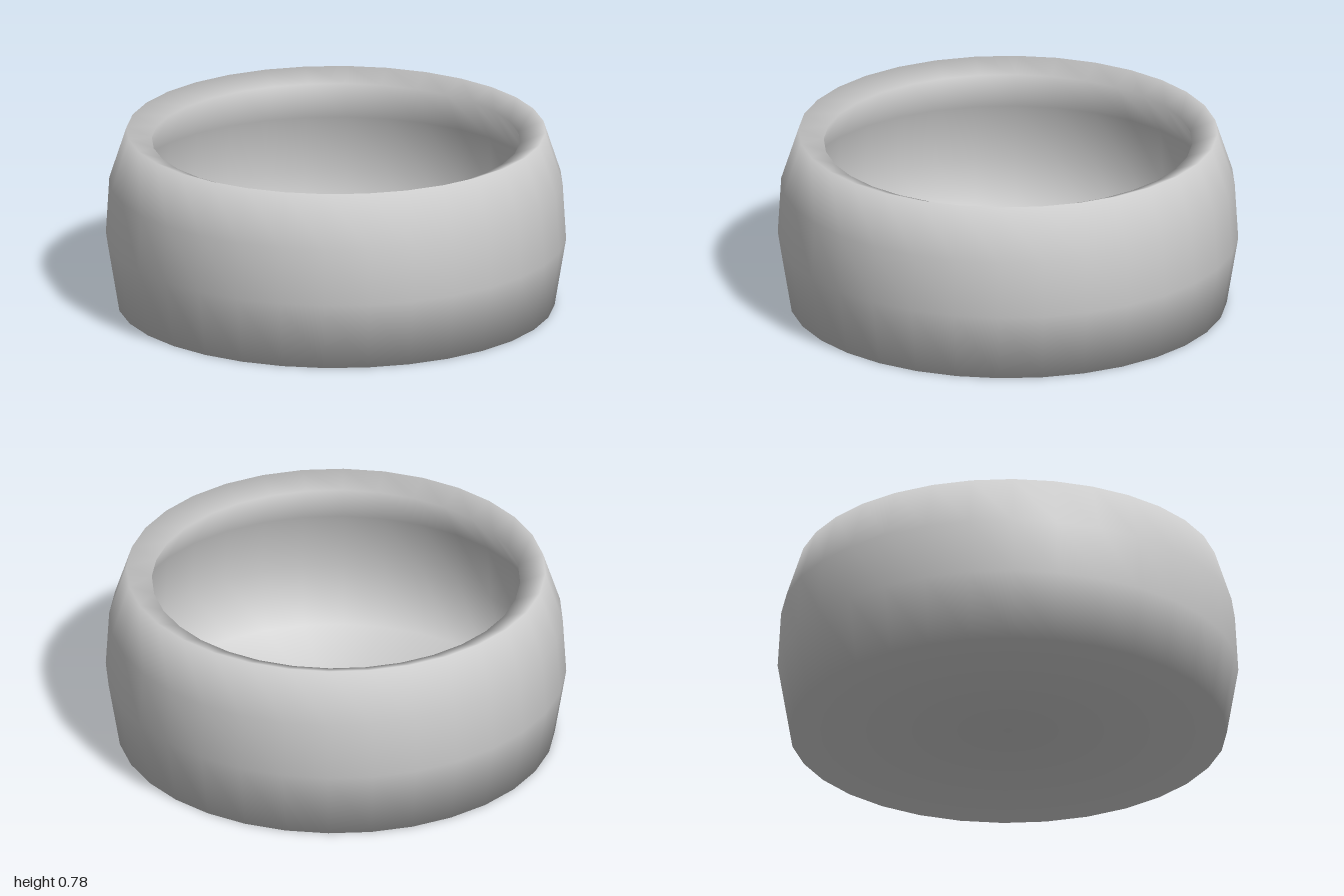
import * as THREE from 'three';

export function createModel() {
  const group = new THREE.Group();
  group.name = 'bowl';

  // Base, bulging outer wall, rim, overhung inner wall and floor
  const profile = [
    [0, 0], [0.95, 0], [1, 0.3], [0.985, 0.55], [0.91, 0.78],
    [0.8, 0.735], [0.9, 0.55], [0.915, 0.3], [0.87, 0.03], [0, 0.03],
  ].map(([r, y]) => new THREE.Vector2(r, y));
  const geometry = new THREE.LatheGeometry(profile, 32);

  // Smooth shading: each ring takes the even average of its two bands
  const bands = profile.slice(1).map((p, i) => {
    const d = p.clone().sub(profile[i]).normalize();
    return new THREE.Vector2(d.y, -d.x);
  });
  const ringNormals = profile.map((p, i) =>
    (bands[i - 1] ?? bands[i]).clone().add(bands[i] ?? bands[i - 1]).normalize());
  const { normal } = geometry.attributes;
  for (let i = 0; i < normal.count; i++) {
    const n = ringNormals[i % profile.length];
    const angle = Math.floor(i / profile.length) * Math.PI / 16;
    normal.setXYZ(i, n.x * Math.sin(angle), n.y, n.x * Math.cos(angle));
  }

  const material = new THREE.MeshStandardMaterial({ color: 0xcccccc, side: THREE.DoubleSide });
  const shell = new THREE.Mesh(geometry, material);
  shell.name = 'bowlShell';
  group.add(shell);

  return group;
}
